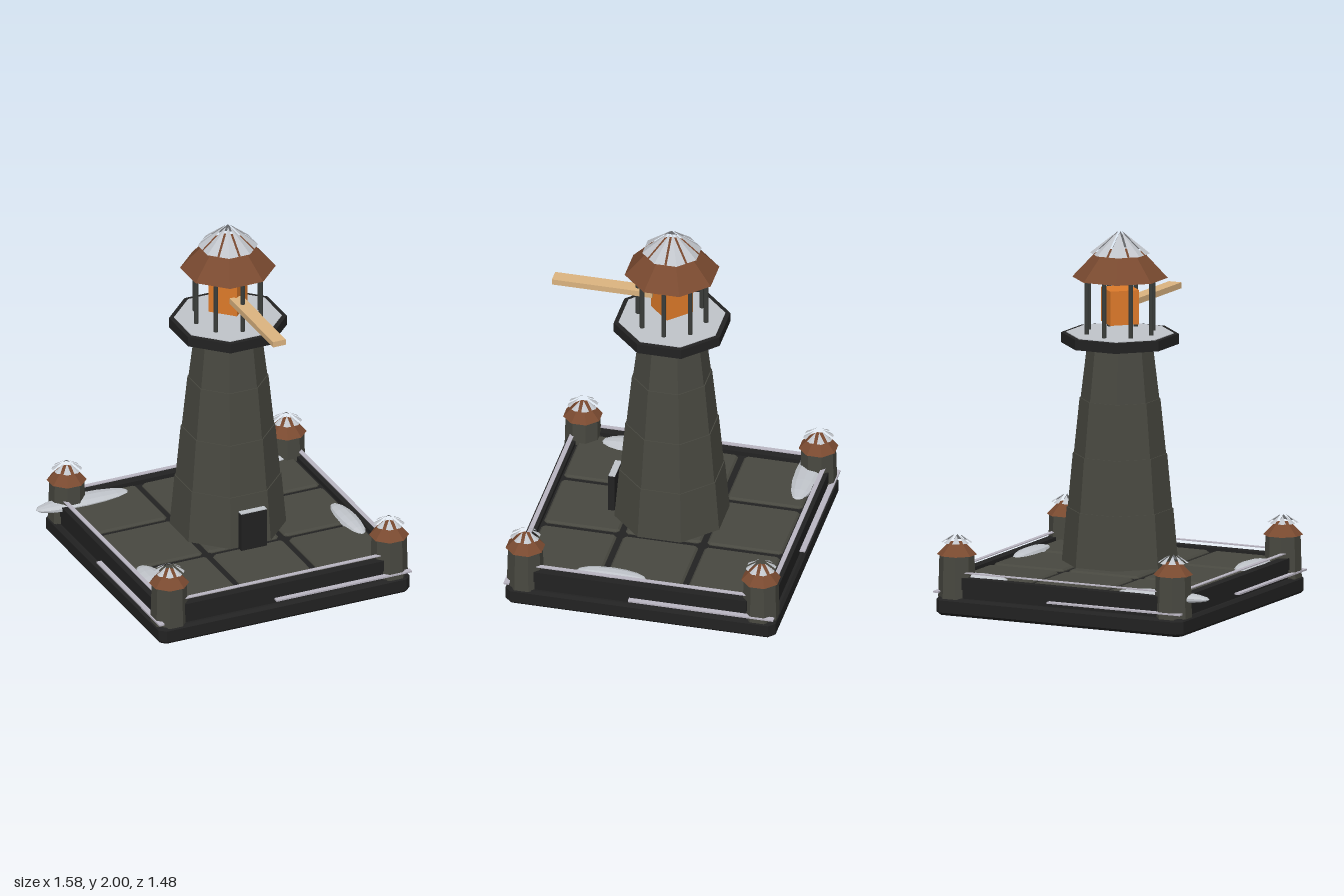
import * as THREE from 'three';

const mat = (name, color, extra = {}) => Object.assign(
  new THREE.MeshStandardMaterial({ color, flatShading: true, ...extra }), { name });

export function createModel() {
  const root = new THREE.Group();
  root.name = 'lighthouse';
  const stone = mat('stone', 0x484840);
  const black = mat('black stone', 0x222222);
  const iron = mat('iron', 0x3a3d3a);
  const brown = mat('roof brown', 0x7a4a30);
  const snow = mat('snow', 0xc0c4ca, { side: THREE.DoubleSide });
  const frost = mat('frost', 0xbab6c2);
  const orange = mat('lamp orange', 0xdd7a2a);
  const tan = mat('beam tan', 0xdcb480);
  const CX = 0.048;

  const add = (name, geo, m, x, y, z, parent = root) => {
    const mesh = new THREE.Mesh(geo, m);
    mesh.name = name;
    mesh.position.set(x, y, z);
    parent.add(mesh);
    return mesh;
  };
  const box = (name, w, h, d, m, x, y, z, parent) =>
    add(name, new THREE.BoxGeometry(w, h, d), m, x, y, z, parent);

  // Octagonal frustum sized by distance to its flats, flats facing the axes
  const octagon = (name, top, bottom, y0, y1, m, x, z, parent) => {
    const k = 1 / Math.cos(Math.PI / 8);
    const geo = new THREE.CylinderGeometry(top * k, bottom * k, y1 - y0, 8);
    geo.rotateY(Math.PI / 8);
    return add(name, geo, m, x, (y0 + y1) / 2, z, parent);
  };

  // Slab with cut corners and bevelled rims
  const slab = (name, w, d, y0, y1, cut, bevel, m, x, z) => {
    const a = w / 2 - bevel, b = d / 2 - bevel;
    const pts = [[a, b - cut], [a - cut, b], [cut - a, b], [-a, b - cut],
      [-a, cut - b], [cut - a, -b], [a - cut, -b], [a, cut - b]];
    const geo = new THREE.ExtrudeGeometry(
      new THREE.Shape(pts.map(p => new THREE.Vector2(...p))),
      { depth: y1 - y0 - 2 * bevel, bevelSize: bevel, bevelThickness: bevel, bevelSegments: 1 });
    geo.rotateX(-Math.PI / 2);
    return add(name, geo, m, x, y0 + bevel, z);
  };

  // Eight separate snow panels, split along the middles of the roof flats
  const snowCap = (a, y0, y1, gap, x, z, parent) => {
    const t = Math.tan(Math.PI / 8), v = [];
    const inner = gap / Math.sin(Math.PI / 8);
    for (let i = 0; i < 8; i++) {
      const ang = Math.PI / 8 + i * Math.PI / 4;
      const polar = (r, s) => {
        // s shifts sideways from the panel's own middle line
        return [r * Math.sin(ang) + s * Math.cos(ang), r * Math.cos(ang) - s * Math.sin(ang)];
      };
      const R = a / Math.cos(Math.PI / 8);
      const c = Math.cos(Math.PI / 8), sn = Math.sin(Math.PI / 8);
      const mid = [a * c + gap * sn, a * sn - gap * c];
      const P = (q, y) => [q[0], y, q[1]];
      const apex = P(polar(inner, 0), y1), tip = P(polar(R, 0), y0);
      const l = P(polar(mid[0], -mid[1]), y0), r = P(polar(mid[0], mid[1]), y0);
      v.push(...apex, ...l, ...tip, ...apex, ...tip, ...r);
    }
    const geo = new THREE.BufferGeometry();
    geo.setAttribute('position', new THREE.Float32BufferAttribute(v, 3));
    geo.computeVertexNormals();
    add('roofSnow', geo, snow, x, 0, z, parent);
  };

  // Foundation and paved floor
  slab('foundation', 1.466, 1.47, 0, 0.095, 0.025, 0.015, black, CX, 0);
  box('floorBed', 1.34, 0.09, 1.34, black, CX, 0.135, 0);
  for (let i = -1; i <= 1; i++)
    for (let j = -1; j <= 1; j++)
      slab('floorTile', 0.41, 0.41, 0.15, 0.195, 0.01, 0.01, stone, CX + i * 0.444, j * 0.444);

  // Four sides: stepped wall, frosted rail and icy ledge; four corner turrets
  for (let i = 0; i < 4; i++) {
    const side = new THREE.Group();
    side.name = 'wallSide';
    side.position.x = CX;
    side.rotation.y = i * Math.PI / 2;
    root.add(side);
    box('wallFoot', 1.16, 0.055, 0.06, black, 0, 0.12, 0.675, side);
    box('wallTop', 1.16, 0.062, 0.05, black, 0, 0.174, 0.685, side);
    box('railFrost', 1.16, 0.005, 0.024, frost, 0, 0.23, 0.683, side);
    box('ledgeIce', 0.79, 0.009, 0.03, frost, 0.335, 0.122, 0.724, side);

    const sx = i % 2 ? 1 : -1, sz = i < 2 ? 1 : -1;
    const turret = new THREE.Group();
    turret.name = 'cornerTurret';
    turret.position.set(CX + sx * 0.641, 0, sz * 0.641);
    root.add(turret);
    octagon('turretBody', 0.086, 0.092, 0.09, 0.32, stone, 0, 0, turret);
    octagon('turretRoof', 0.04, 0.098, 0.318, 0.382, brown, 0, 0, turret);
    snowCap(0.076, 0.384, 0.422, 0.009, 0, 0, turret);
  }

  // Tapered tower in four courses
  const bottoms = [0.285, 0.256, 0.226, 0.193], tops = [0.261, 0.231, 0.198, 0.16];
  const levels = [0.228, 0.517, 0.81, 1.105, 1.402];
  for (let i = 0; i < 4; i++)
    octagon('towerCourse', tops[i], bottoms[i], levels[i], levels[i + 1], stone, CX, 0);

  // Door with a snowy lintel
  box('door', 0.15, 0.215, 0.035, black, CX, 0.336, 0.312);
  box('doorSnow', 0.15, 0.006, 0.035, snow, CX, 0.445, 0.31);

  // Gallery and lantern posts
  octagon('gallery', 0.288, 0.288, 1.4, 1.455, black, CX, 0);
  octagon('gallerySnow', 0.264, 0.264, 1.452, 1.459, snow, CX, 0);
  for (let i = 0; i < 8; i++) {
    const a = i * Math.PI / 4;
    add('lanternPost', new THREE.CylinderGeometry(0.013, 0.013, 0.31, 8), iron,
      CX + 0.185 * Math.sin(a), 1.605, 0.185 * Math.cos(a));
  }

  // Lamp set cornerwise, and its beam
  add('lamp', new THREE.CylinderGeometry(0.113, 0.113, 0.184, 4), orange, CX, 1.603, 0);
  box('beam', 0.074, 0.032, 0.545, tan, CX, 1.605, 0.372);

  // Lantern roof
  octagon('lanternRoof', 0.122, 0.234, 1.755, 1.885, brown, CX, 0);
  snowCap(0.147, 1.885, 2.0, 0.006, CX, 0);

  // Snow drifts: flattened ellipsoids, [x, z, half length x, half length z]
  const drifts = [[-0.52, -0.605, 0.27, 0.074], [0.56, -0.615, 0.16, 0.06],
    [0.664, 0.18, 0.056, 0.19], [-0.555, 0.363, 0.073, 0.165]];
  for (const [x, z, a, b] of drifts) {
    const geo = new THREE.SphereGeometry(1, 10, 8);
    if (a > b) geo.rotateZ(Math.PI / 2); else geo.rotateX(Math.PI / 2);
    geo.scale(a, 0.03, b);
    add('snowDrift', geo, snow, x, 0.192, z);
  }
  return root;
}
